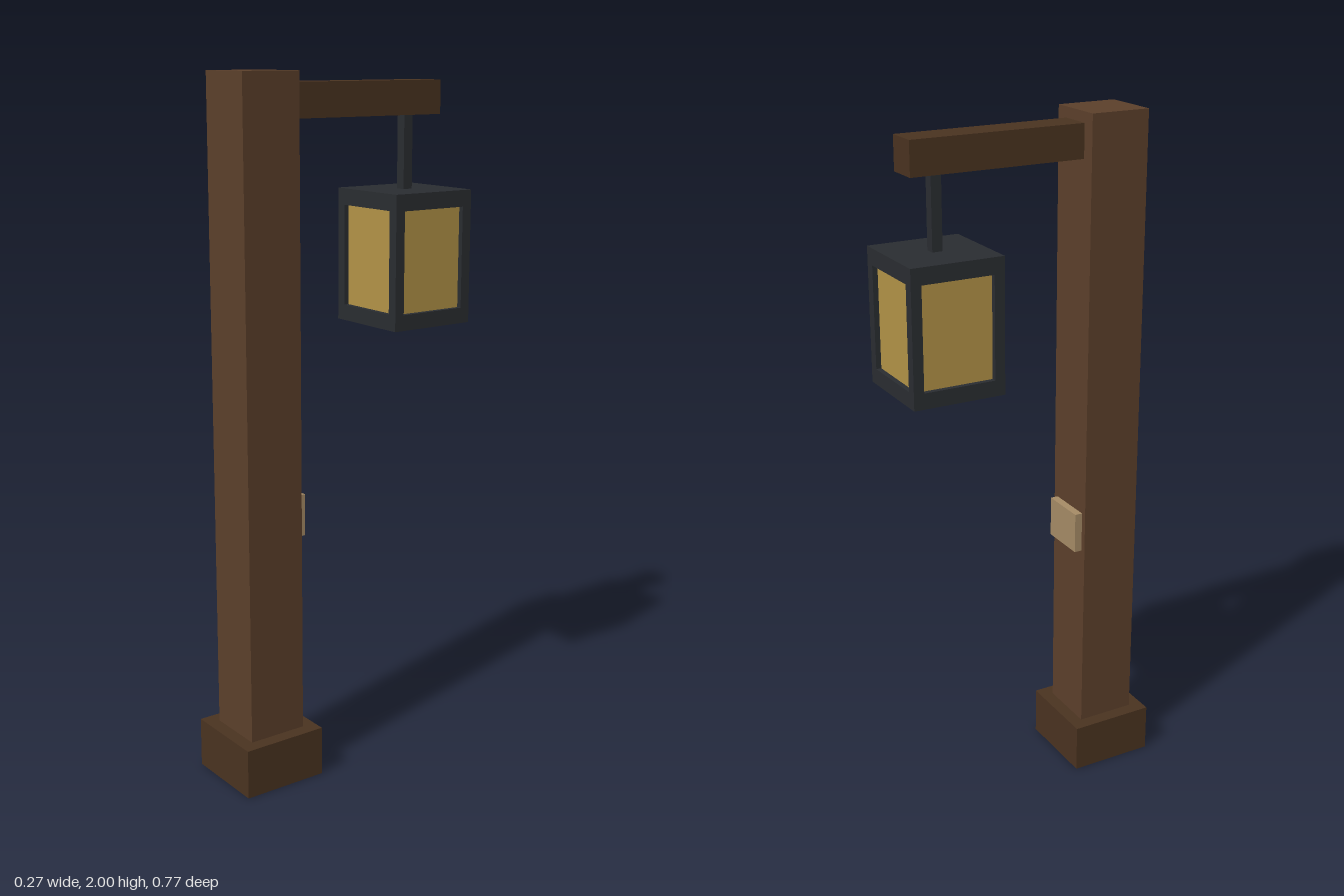
import * as THREE from 'three';

const mat = (color) => new THREE.MeshStandardMaterial({ color });

export function createModel() {
  const model = new THREE.Group();
  model.name = 'lampPost';
  const wood = mat(0x5c402b);
  const darkWood = mat(0x4a3320);
  const iron = mat(0x2a2d31);
  const glass = mat(0xb39347);
  const paleWood = mat(0xa68b66);

  // Box given by its lower and upper limits on each axis
  const box = (parent, name, material, [x0, x1], [y0, y1], [z0, z1]) => {
    const mesh = new THREE.Mesh(new THREE.BoxGeometry(x1 - x0, y1 - y0, z1 - z0), material);
    mesh.position.set((x0 + x1) / 2, (y0 + y1) / 2, (z0 + z1) / 2);
    mesh.name = name;
    parent.add(mesh);
  };

  // Timber: footing, upright, arm reaching back, and small plaque
  box(model, 'base', darkWood, [-0.128, 0.128], [0, 0.145], [0.132, 0.387]);
  box(model, 'post', wood, [-0.088, 0.088], [0.01, 2], [0.171, 0.347]);
  box(model, 'arm', darkWood, [-0.048, 0.048], [1.875, 1.97], [-0.341, 0.18]);
  box(model, 'plaque', paleWood, [-0.071, 0.071], [0.722, 0.843], [0.148, 0.175]);

  // Lantern hanging below the arm, built around its own vertical axis
  const lantern = new THREE.Group();
  lantern.name = 'lantern';
  lantern.position.z = -0.253;
  model.add(lantern);

  const R = 0.135; // outer half width
  const r = 0.105; // half width of the window openings
  const g = 0.12; // half width of the recessed glass
  box(lantern, 'hanger', iron, [-0.015, 0.015], [1.66, 1.88], [-0.015, 0.015]);
  box(lantern, 'lanternTop', iron, [-R, R], [1.62, 1.667], [-R, R]);
  box(lantern, 'lanternBottom', iron, [-R, R], [1.285, 1.33], [-R, R]);
  box(lantern, 'glass', glass, [-g, g], [1.325, 1.625], [-g, g]);

  // Four corner bars frame the windows
  for (const sx of [-1, 1]) {
    for (const sz of [-1, 1]) {
      const span = (s) => (s > 0 ? [r, R] : [-R, -r]);
      box(lantern, 'cornerBar', iron, span(sx), [1.33, 1.62], span(sz));
    }
  }
  return model;
}
